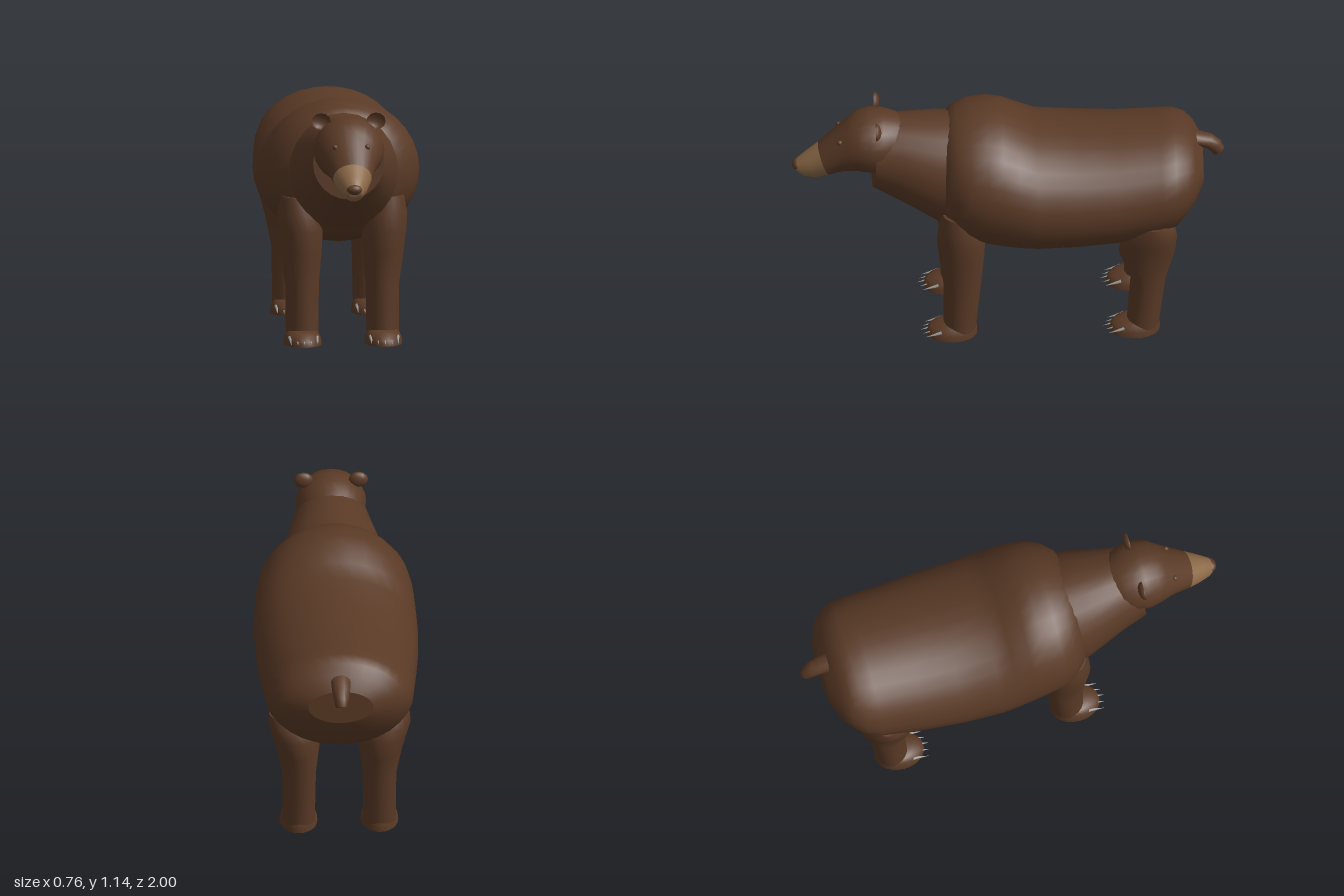
import * as THREE from 'three';

const fur = new THREE.MeshStandardMaterial({ color: 0x5a3a26, side: THREE.DoubleSide });
fur.name = 'brown fur';
const tan = new THREE.MeshStandardMaterial({ color: 0x8a6846 });
tan.name = 'tan muzzle';
const grey = new THREE.MeshStandardMaterial({ color: 0xa0a09c });
grey.name = 'grey claw';

// Skin over elliptical rings { c, u, v }; u x v points along the loft. Flat caps close both ends.
function loft(rings, sides = 24) {
  const pos = [], idx = [];
  const addRing = ({ c, u, v }) => {
    const start = pos.length / 3;
    for (let j = 0; j < sides; j++) {
      const a = (j / sides) * Math.PI * 2;
      for (let k = 0; k < 3; k++) pos.push(c[k] + u[k] * Math.cos(a) + v[k] * Math.sin(a));
    }
    return start;
  };
  const starts = rings.map(addRing);
  for (let i = 0; i < rings.length - 1; i++) {
    for (let j = 0; j < sides; j++) {
      const n = (j + 1) % sides, s = starts[i], t = starts[i + 1];
      idx.push(s + j, s + n, t + j, s + n, t + n, t + j);
    }
  }
  const first = addRing(rings[0]), last = addRing(rings[rings.length - 1]);
  for (let j = 1; j < sides - 1; j++) {
    idx.push(first, first + j + 1, first + j);
    idx.push(last, last + j, last + j + 1);
  }
  const geo = new THREE.BufferGeometry();
  geo.setAttribute('position', new THREE.Float32BufferAttribute(pos, 3));
  geo.setIndex(idx);
  geo.computeVertexNormals();
  return geo;
}

// Ring across the spine: top point (z, y), bottom point (z, y), half width
const spineRing = ([zt, yt, zb, yb, w]) => ({
  c: [0, (yt + yb) / 2, (zt + zb) / 2],
  u: [w, 0, 0],
  v: [0, (yt - yb) / 2, (zt - zb) / 2],
});
// Level ring for limbs: height, inner x, outer x, back z, front z
const levelRing = ([y, x0, x1, z0, z1]) => ({
  c: [(x0 + x1) / 2, y, (z0 + z1) / 2],
  u: [0, 0, (z1 - z0) / 2],
  v: [(x1 - x0) / 2, 0, 0],
});

function addMesh(parent, name, geo, mat) {
  const mesh = new THREE.Mesh(geo, mat);
  mesh.name = name;
  parent.add(mesh);
  return mesh;
}

// Paw and five claws; heel is the z of the back of the paw
function addPaw(parent, name, side, heel) {
  const paw = new THREE.Group();
  paw.name = name;
  paw.position.set(side * 0.187, 0, heel);
  addMesh(paw, 'foot', loft([
    [0, -0.088, 0.088, 0, 0.235],
    [0.025, -0.085, 0.085, 0, 0.232],
    [0.045, -0.077, 0.077, 0.003, 0.215],
    [0.06, -0.066, 0.066, 0.008, 0.18],
    [0.067, -0.05, 0.05, 0.02, 0.15],
  ].map(levelRing)), fur);
  for (let i = -2; i <= 2; i++) {
    const geo = new THREE.ConeGeometry(0.009, 0.08, 8);
    geo.rotateX(Math.PI / 2 + 0.3);
    const claw = addMesh(paw, 'claw', geo, grey);
    claw.position.set(i * 0.031, 0.026, 0.226 - Math.abs(i) * 0.011);
  }
  parent.add(paw);
}

export function createModel() {
  const bear = new THREE.Group();
  bear.name = 'bear';

  // Trunk with shoulder hump and rounded rump: z, top, bottom, half width
  addMesh(bear, 'body', loft([
    [-0.9, 0.9, 0.73, 0.15],
    [-0.86, 0.965, 0.655, 0.25],
    [-0.82, 1.005, 0.59, 0.295],
    [-0.77, 1.025, 0.53, 0.325],
    [-0.7, 1.022, 0.49, 0.342],
    [-0.5, 1.01, 0.45, 0.36],
    [-0.32, 1.015, 0.437, 0.375],
    [-0.13, 1.03, 0.43, 0.38],
    [-0.05, 1.07, 0.43, 0.377],
    [0.03, 1.11, 0.437, 0.372],
    [0.1, 1.125, 0.45, 0.365],
    [0.18, 1.118, 0.475, 0.352],
    [0.24, 1.1, 0.505, 0.32],
    [0.29, 1.07, 0.545, 0.27],
    [0.32, 1.0, 0.6, 0.2],
  ].map(([z, t, b, w]) => spineRing([z, t, z, b, w])), 32), fur);

  // Neck, cut off below the jaw
  addMesh(bear, 'neck', loft([
    [0.2, 1.08, 0.2, 0.5, 0.26],
    [0.33, 1.083, 0.33, 0.555, 0.25],
    [0.5, 1.088, 0.5, 0.66, 0.195],
    [0.605, 1.075, 0.63, 0.737, 0.165],
  ].map(spineRing)), fur);

  // Head and muzzle share their joining ring
  const joint = [0.88, 0.945, 0.825, 0.8, 0.09];
  addMesh(bear, 'head', loft([
    [0.47, 1.07, 0.5, 0.86, 0.1],
    [0.52, 1.1, 0.54, 0.84, 0.14],
    [0.58, 1.118, 0.58, 0.825, 0.158],
    [0.64, 1.122, 0.64, 0.82, 0.164],
    [0.7, 1.107, 0.7, 0.828, 0.15],
    [0.745, 1.07, 0.735, 0.826, 0.131],
    [0.79, 1.03, 0.77, 0.82, 0.114],
    joint,
  ].map(spineRing)), fur);
  addMesh(bear, 'muzzle', loft([
    joint,
    [0.94, 0.9, 0.88, 0.78, 0.067],
    [0.98, 0.867, 0.935, 0.78, 0.046],
    [0.99, 0.85, 0.975, 0.805, 0.028],
  ].map(spineRing)), tan);
  const nose = addMesh(bear, 'nose', new THREE.SphereGeometry(1, 16, 10), fur);
  nose.scale.set(0.035, 0.024, 0.025);
  nose.position.set(0, 0.842, 0.975);

  // Short drooping tail, tip first
  addMesh(bear, 'tail', loft([
    [-1, 0.88, -0.95, 0.845, 0.026],
    [-0.985, 0.915, -0.935, 0.868, 0.034],
    [-0.945, 0.95, -0.915, 0.888, 0.041],
    [-0.87, 0.972, -0.88, 0.905, 0.045],
  ].map(spineRing), 16), fur);

  for (const side of [1, -1]) {
    const label = side > 0 ? 'left' : 'right';

    // Cupped ear opening forwards
    const earGeo = new THREE.SphereGeometry(1, 12, 6, 0, Math.PI * 2, 0, Math.PI / 2);
    earGeo.rotateX(-Math.PI / 2);
    const ear = addMesh(bear, label + 'Ear', earGeo, fur);
    ear.scale.set(0.045, 0.04, 0.026);
    ear.position.set(side * 0.127, 1.101, 0.617);

    const eye = addMesh(bear, label + 'Eye', new THREE.SphereGeometry(0.013, 12, 8), fur);
    eye.position.set(side * 0.075, 1.008, 0.782);

    // Legs: height, inner x, outer x, back z, front z
    const place = ([y, x0, x1, z0, z1]) => levelRing(
      side > 0 ? [y, x0, x1, z0, z1] : [y, -x1, -x0, z0, z1]);
    addMesh(bear, label + 'FrontLeg', loft([
      [0.03, 0.112, 0.262, 0.155, 0.305],
      [0.27, 0.108, 0.264, 0.132, 0.305],
      [0.42, 0.096, 0.285, 0.118, 0.325],
      [0.53, 0.09, 0.298, 0.112, 0.337],
      [0.61, 0.105, 0.3, 0.13, 0.33],
      [0.69, 0.14, 0.285, 0.17, 0.31],
    ].map(place)), fur);
    addMesh(bear, label + 'HindLeg', loft([
      [0.03, 0.112, 0.262, -0.69, -0.54],
      [0.3, 0.108, 0.264, -0.725, -0.56],
      [0.44, 0.092, 0.292, -0.765, -0.505],
      [0.53, 0.09, 0.315, -0.775, -0.515],
      [0.59, 0.11, 0.33, -0.765, -0.55],
      [0.64, 0.15, 0.325, -0.73, -0.6],
    ].map(place)), fur);
    addPaw(bear, label + 'FrontPaw', side, 0.15);
    addPaw(bear, label + 'HindPaw', side, -0.695);
  }
  return bear;
}
